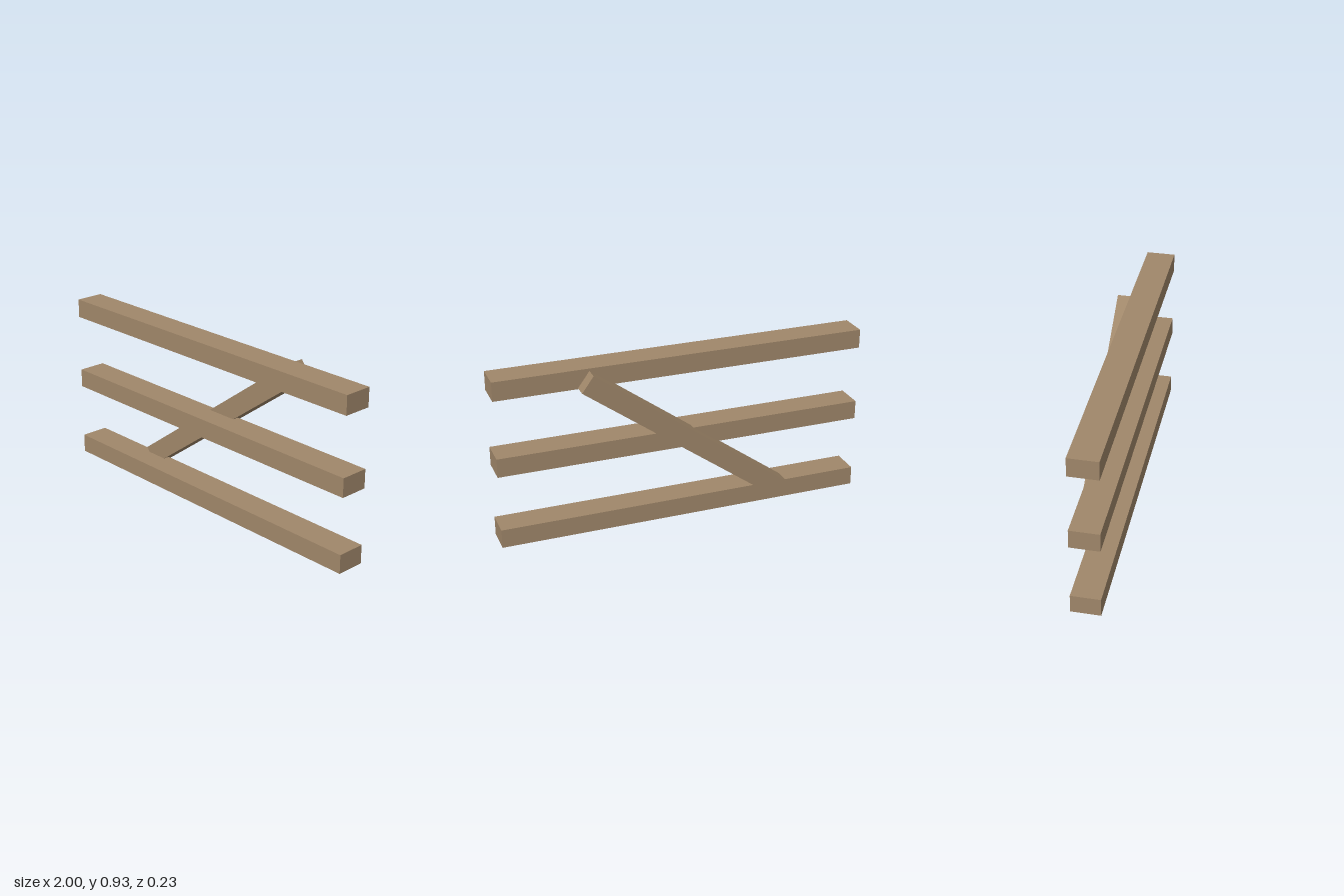
import * as THREE from 'three';

export function createModel() {
  const group = new THREE.Group();
  const wood = new THREE.MeshStandardMaterial({ color: 0xa0876a });
  wood.name = 'weathered wood';

  const addBeam = (name, length, height, depth, x, y, z, tilt = 0) => {
    const beam = new THREE.Mesh(new THREE.BoxGeometry(length, height, depth), wood);
    beam.name = name;
    beam.position.set(x, y, z);
    beam.rotation.z = tilt;
    group.add(beam);
  };

  // Three horizontal rails
  const rails = { bottomRail: 0.051, middleRail: 0.457, topRail: 0.874 };
  for (const [name, y] of Object.entries(rails)) {
    addBeam(name, 2, 0.102, 0.154, 0, y, 0.036);
  }

  // Diagonal brace let into the back of the rails
  addBeam('diagonalBrace', 1.332, 0.105, 0.105, -0.002, 0.477, -0.06, 0.631);

  return group;
}
